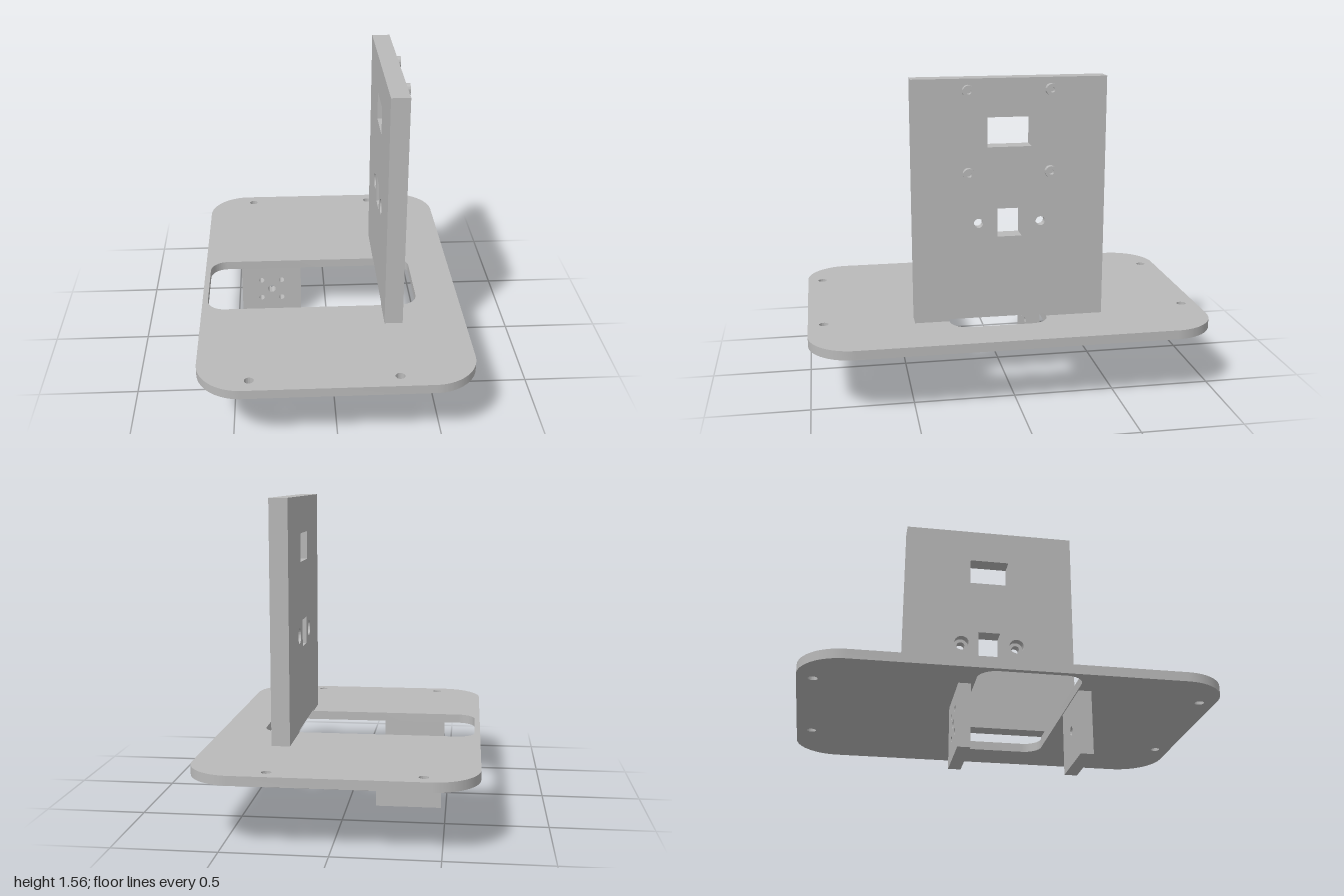
import * as THREE from 'three';
import { toCreasedNormals } from 'three/addons/utils/BufferGeometryUtils.js';

const grey = new THREE.MeshStandardMaterial({ color: 0xbababa });
grey.name = 'plain grey';

// Closed rectangle with optional corner radius
function roundedRect(path, x0, y0, x1, y1, r = 0) {
  if (r === 0) {
    path.moveTo(x0, y0).lineTo(x1, y0).lineTo(x1, y1).lineTo(x0, y1).closePath();
    return path;
  }
  path.moveTo(x0 + r, y0);
  path.absarc(x1 - r, y0 + r, r, -Math.PI / 2, 0);
  path.absarc(x1 - r, y1 - r, r, 0, Math.PI / 2);
  path.absarc(x0 + r, y1 - r, r, Math.PI / 2, Math.PI);
  path.absarc(x0 + r, y0 + r, r, Math.PI, Math.PI * 1.5);
  path.closePath();
  return path;
}

const rectHole = (x0, y0, x1, y1, r) => roundedRect(new THREE.Path(), x0, y0, x1, y1, r);
const roundHole = (x, y, r) => new THREE.Path().absarc(x, y, r, 0, Math.PI * 2, true);

function plate(name, shape, holes, depth) {
  shape.holes.push(...holes);
  const geo = new THREE.ExtrudeGeometry(shape, { depth, bevelEnabled: false, curveSegments: 20 });
  const mesh = new THREE.Mesh(toCreasedNormals(geo, 0.6), grey);
  mesh.name = name;
  return mesh;
}

export function createModel() {
  const model = new THREE.Group();
  model.name = 'mountingBracket';

  // Base plate: rounded slab with a slot and four corner holes (shape y is -z)
  const baseHoles = [rectHole(-0.64, -0.303, 0.45, 0.187, 0.09)];
  for (const x of [-0.415, 0.29]) {
    for (const z of [-0.925, 0.922]) baseHoles.push(roundHole(x, -z, 0.023));
  }
  const base = plate('basePlate', roundedRect(new THREE.Shape(), -0.668, -1, 0.668, 1, 0.22), baseHoles, 0.046);
  base.rotation.x = -Math.PI / 2;
  base.position.y = 0.31;
  model.add(base);

  // Upright panel: two layers, so the round holes are wider on the -x side
  const panel = new THREE.Group();
  panel.name = 'uprightPanel';
  const layers = [['panelBackLayer', 0.26, 0.046, 0.041], ['panelFrontLayer', 0.306, 0.046, 0.023]];
  for (const [name, x, depth, holeRadius] of layers) {
    // Outline with a shallow relief above the slot (shape x is -z)
    const outline = new THREE.Shape([
      [-0.475, 0.356], [-0.303, 0.356], [-0.303, 0.367], [0.187, 0.367],
      [0.187, 0.356], [0.475, 0.356], [0.475, 1.562], [-0.475, 1.562],
    ].map(([u, v]) => new THREE.Vector2(u, v)));
    const layer = plate(name, outline, [
      rectHole(-0.11, 1.23, 0.108, 1.375),
      rectHole(-0.062, 0.783, 0.06, 0.925),
      roundHole(-0.155, 0.854, holeRadius),
      roundHole(0.153, 0.854, holeRadius),
    ], depth);
    layer.rotation.y = Math.PI / 2;
    layer.position.x = x;
    panel.add(layer);
  }
  model.add(panel);

  // Four hollow standoffs on the panel
  const profile = [[0.029, 0], [0.029, 0.03], [0.013, 0.03], [0.013, 0.001], [0, 0.001]];
  const standoffGeo = toCreasedNormals(
    new THREE.LatheGeometry(profile.map(([r, h]) => new THREE.Vector2(r, h)), 32), 0.6);
  for (const y of [1.104, 1.504]) {
    for (const z of [-0.2, 0.203]) {
      const standoff = new THREE.Mesh(standoffGeo, grey);
      standoff.name = 'standoff';
      standoff.rotation.z = -Math.PI / 2;
      standoff.position.set(0.352, y, z);
      model.add(standoff);
    }
  }

  // Two legs under the base: one hole in front, a five-hole pattern behind
  const legShape = () => roundedRect(new THREE.Shape(), -0.475, 0, -0.145, 0.31);
  const axle = () => roundHole(-0.31, 0.168, 0.022);
  const frontLeg = plate('frontLeg', legShape(), [axle()], 0.062);
  frontLeg.position.z = 0.307;
  const backHoles = [axle()];
  for (const dx of [-0.056, 0.056]) {
    for (const dy of [-0.056, 0.056]) backHoles.push(roundHole(-0.31 + dx, 0.168 + dy, 0.015));
  }
  const backLeg = plate('backLeg', legShape(), backHoles, 0.06);
  backLeg.position.z = -0.262;
  model.add(frontLeg, backLeg);

  return model;
}
